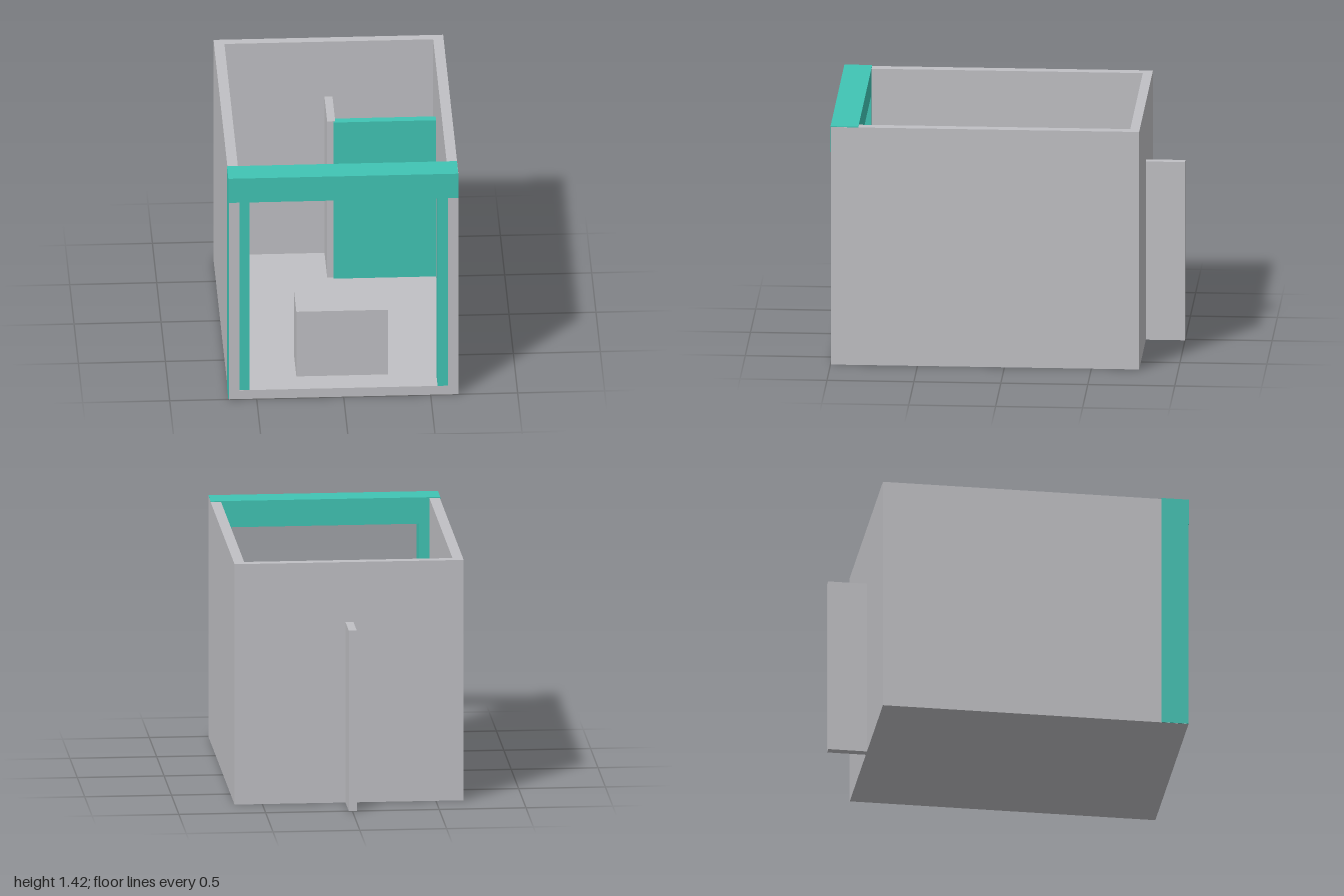
import * as THREE from 'three';

export function createModel() {
  const grey = new THREE.MeshStandardMaterial({ color: 0xc0c0c4 });
  grey.name = 'plaster grey';
  const teal = new THREE.MeshStandardMaterial({ color: 0x40c4b4 });
  teal.name = 'trim teal';

  const model = new THREE.Group();
  model.name = 'room';

  // Adds a box given its extents along each axis
  const box = (name, material, [x0, x1], [y0, y1], [z0, z1]) => {
    const mesh = new THREE.Mesh(new THREE.BoxGeometry(x1 - x0, y1 - y0, z1 - z0), material);
    mesh.position.set((x0 + x1) / 2, (y0 + y1) / 2, (z0 + z1) / 2);
    mesh.name = name;
    model.add(mesh);
  };

  // Open-topped shell, open at the front
  const front = 0.998, back = -0.775, top = 1.415, floorTop = 0.056;
  box('floor', grey, [-0.66, 0.66], [0, floorTop], [back, front]);
  box('leftWall', grey, [0.6, 0.66], [floorTop, top], [back, front]);
  box('rightWall', grey, [-0.66, -0.6], [floorTop, top], [back, front]);
  box('backWall', grey, [-0.6, 0.6], [floorTop, top], [back, -0.72]);

  // Front frame: the right post shows through the outside of its wall
  box('leftPost', teal, [0.54, 0.6], [floorTop, 1.265], [0.84, front]);
  box('rightPost', teal, [-0.663, -0.54], [0.001, 1.265], [0.84, front - 0.002]);
  box('frontBeam', teal, [-0.663, 0.659], [1.265, 1.42], [0.84, 1]);

  // Counter block just behind the entrance
  box('counter', grey, [-0.264, 0.264], [floorTop, 0.472], [0.57, 0.838]);

  // Rear divider running through the back wall, with the teal panel beside it
  box('divider', grey, [-0.025, 0.021], [0, 1.062], [-1, -0.405]);
  box('screenPanel', teal, [0.01, 0.6], [floorTop, 1.061], [-0.44, -0.39]);

  return model;
}
